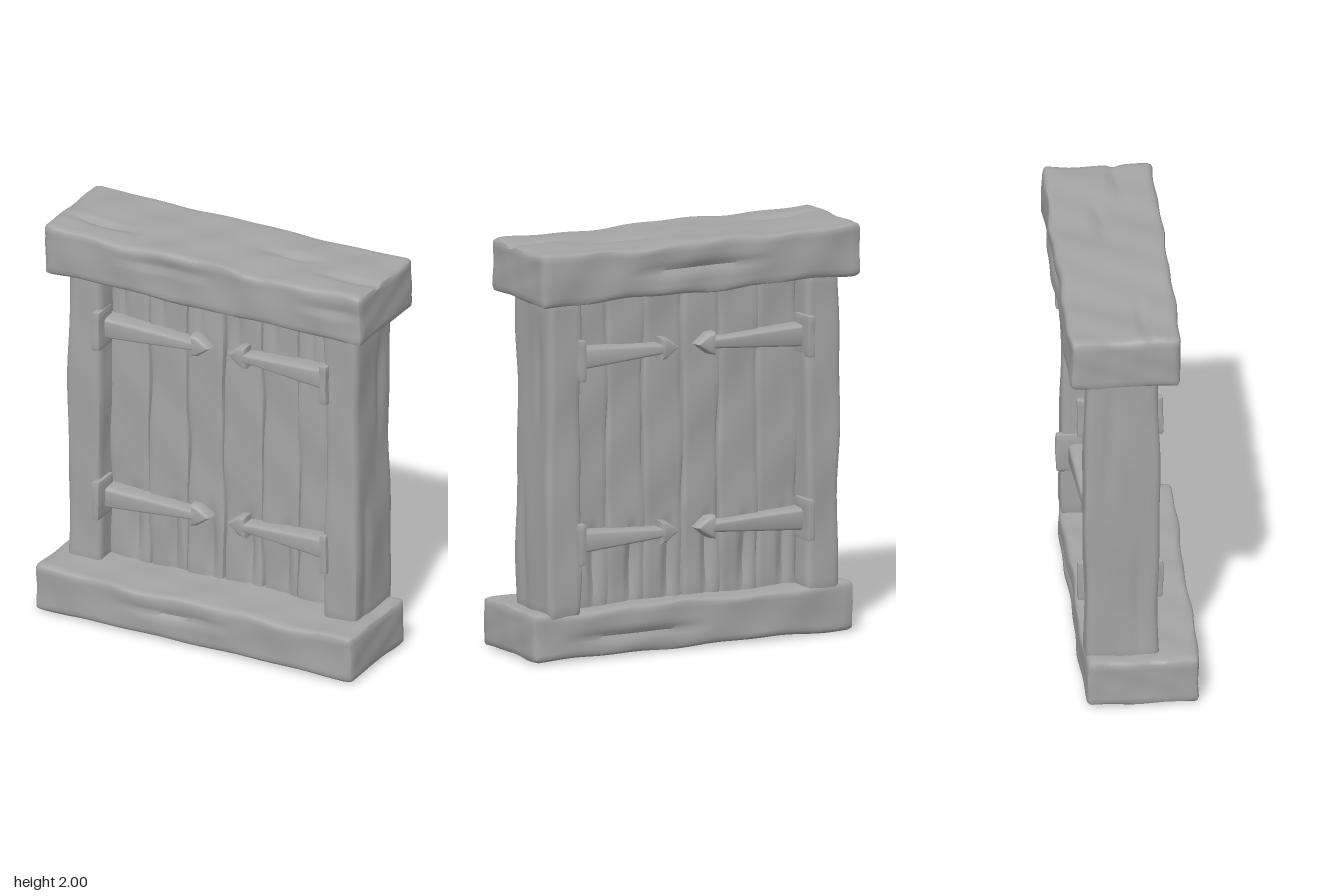
import * as THREE from 'three';
import { mergeVertices, toCreasedNormals } from 'three/addons/utils/BufferGeometryUtils.js';

const wood = new THREE.MeshStandardMaterial({ color: 0xa4a4a4 });
wood.name = 'weathered grey';

const MID_Z = -0.055; // middle plane of the posts and doors

// Smooth, repeatable unevenness in the range of about -1 to 1
function wave(a, b, seed) {
  return 0.5 * Math.sin(a + seed * 1.7) + 0.3 * Math.sin(a * 2.3 + b + seed * 3.1) + 0.2 * Math.sin(b * 1.9 - a * 0.7 + seed * 5.3);
}

// Box between two corners with rounded edges, bent sides and long grain grooves.
// 'axis' is the grain direction (0 = x, 1 = y).
function timber(name, min, max, { axis = 1, round = 0.02, amp = 0.01, freq = 7, seed = 1, segs, grooves = [] }) {
  const size = max.map((v, i) => v - min[i]);
  const centre = max.map((v, i) => (v + min[i]) / 2);
  let geo = new THREE.BoxGeometry(...size, ...segs);
  geo.deleteAttribute('uv');
  geo.deleteAttribute('normal');
  const pos = geo.attributes.position;
  const p = new THREE.Vector3();
  const core = new THREE.Vector3();
  const others = [0, 1, 2].filter((i) => i !== axis);
  for (let i = 0; i < pos.count; i++) {
    p.fromBufferAttribute(pos, i);
    const raw = p.toArray();
    // rounded edges
    core.fromArray(raw.map((v, k) => THREE.MathUtils.clamp(v, round - size[k] / 2, size[k] / 2 - round)));
    p.sub(core);
    if (p.length() > 0) p.setLength(Math.min(p.length(), round));
    p.add(core);
    const q = p.toArray();
    // hewn unevenness along the grain
    const t = raw[axis] * freq;
    for (const k of others) {
      const o = others.find((n) => n !== k);
      const side = Math.sign(raw[k]) * Math.min(1, Math.abs(raw[k]) / (size[k] / 2));
      q[k] += amp * wave(t, raw[o] * 14, seed + k * 2 + side * 0.8) * Math.abs(side);
    }
    // grooves: [face axis, face side, from, to, place across, depth]
    for (const [k, side, from, to, across, depth] of grooves) {
      if (raw[k] * side < size[k] / 2 - 1e-4) continue;
      const o = others.find((n) => n !== k);
      const along = (raw[axis] - from) / (to - from);
      if (along < 0 || along > 1) continue;
      q[k] -= side * depth * Math.sin(Math.PI * along) * Math.exp(-(((raw[o] - across) / 0.022) ** 2));
    }
    // end grain
    q[axis] += 0.4 * amp * wave(raw[others[0]] * 20, raw[others[1]] * 17, seed) * Math.abs(raw[axis] / size[axis]) * 2;
    pos.setXYZ(i, ...q);
  }
  geo = mergeVertices(geo);
  const mesh = new THREE.Mesh(toCreasedNormals(geo, 0.75), wood);
  mesh.name = name;
  mesh.position.fromArray(centre);
  return mesh;
}

// Tapered strap with an arrow tip, bulging away from the door
function strap(s, y) {
  const outline = [[0.62, -0.057], [0.15, -0.026], [0.15, -0.058], [0.115, -0.05], [0.045, 0.003], [0.11, 0.052], [0.15, 0.056], [0.15, 0.027], [0.62, 0.055]];
  const shape = new THREE.Shape(outline.map(([x, v]) => new THREE.Vector2(x * s, v)));
  let geo = new THREE.ExtrudeGeometry(shape, {
    depth: 0.04, bevelThickness: 0.03, bevelSize: 0.016, bevelOffset: -0.016, bevelSegments: 3,
  });
  const pos = geo.attributes.position;
  for (let i = 0; i < pos.count; i++) {
    // thicker toward the bracket
    const x = Math.abs(pos.getX(i));
    pos.setZ(i, pos.getZ(i) * (0.85 + 0.75 * x));
  }
  geo.deleteAttribute('uv');
  geo.deleteAttribute('normal');
  const mesh = new THREE.Mesh(toCreasedNormals(geo, 0.8), wood);
  mesh.name = 'hingeStrap';
  mesh.position.set(0, y, 0.055);
  return mesh;
}

// Four hinges for one face of the doors
function hingeSet(name) {
  const set = new THREE.Group();
  set.name = name;
  for (const s of [-1, 1]) {
    for (const y of [1.452, 0.56]) {
      set.add(strap(s, y));
      const x = [0.597 * s, 0.637 * s].sort((a, b) => a - b);
      set.add(timber('hingeBracket', [x[0], y - 0.1, 0.06], [x[1], y + 0.104, 0.205], {
        round: 0.01, amp: 0.004, freq: 14, seed: s + y, segs: [4, 12, 8],
      }));
    }
  }
  return set;
}

export function createModel() {
  const model = new THREE.Group();
  model.name = 'shutteredWindow';

  // Lintel and sill
  model.add(timber('topBeam', [-0.86, 1.742, -0.312], [0.86, 1.99, 0.222], {
    axis: 0, round: 0.025, amp: 0.011, freq: 8, seed: 2, segs: [60, 12, 24],
    grooves: [
      [1, 1, -0.86, -0.4, 0.1, 0.025], [1, 1, 0.15, 0.5, -0.03, 0.02], [1, 1, 0.5, 0.95, 0.08, 0.02],
      [2, 1, -0.5, 0.1, 0.05, 0.015], [2, 1, 0.5, 0.9, 0.03, 0.015], [2, -1, -0.4, 0.4, 0, 0.02],
    ],
  }));
  model.add(timber('bottomBeam', [-0.86, 0.008, -0.235], [0.86, 0.235, 0.31], {
    axis: 0, round: 0.025, amp: 0.01, freq: 7, seed: 5, segs: [60, 12, 24],
    grooves: [
      [2, 1, -0.45, 0.25, 0.02, 0.015], [2, -1, -0.1, 0.7, -0.02, 0.02],
      [1, -1, -0.7, 0, 0.1, 0.015], [1, -1, 0.1, 0.6, -0.1, 0.015],
    ],
  }));

  // Side posts
  for (const s of [-1, 1]) {
    const x = [0.607 * s, 0.785 * s].sort((a, b) => a - b);
    model.add(timber('sidePost', [x[0], 0.2, -0.232], [x[1], 1.77, 0.12], {
      round: 0.025, amp: 0.009, freq: 5, seed: 4 + s, segs: [10, 44, 16],
      grooves: [[0, s, -0.8, -0.1, 0.08, 0.015], [0, s, 0.1, 0.7, -0.06, 0.015]],
    }));
  }

  // Door planks, three per leaf, with narrow gaps
  const edges = [-0.615, -0.4, -0.193, 0.003, 0.215, 0.41, 0.615];
  for (let i = 0; i < 6; i++) {
    const gap = i === 2 || i === 3 ? 0.003 : 0;
    model.add(timber('doorPlank', [edges[i] + gap, 0.2, MID_Z - 0.06], [edges[i + 1] - gap, 1.77, MID_Z + 0.06], {
      round: 0.016, amp: 0.009, freq: 6, seed: 7 + i * 1.3, segs: [12, 44, 6],
      grooves: [[2, 1, -0.8, -0.35, 0.03, 0.03], [2, -1, -0.8, -0.35, -0.03, 0.03], [2, 1, 0.45, 0.9, -0.04, 0.02]],
    }));
  }

  // Hinges on both faces
  const front = hingeSet('frontHinges');
  front.position.z = MID_Z;
  const back = hingeSet('backHinges');
  back.position.z = MID_Z;
  back.rotation.y = Math.PI;
  model.add(front, back);

  return model;
}
